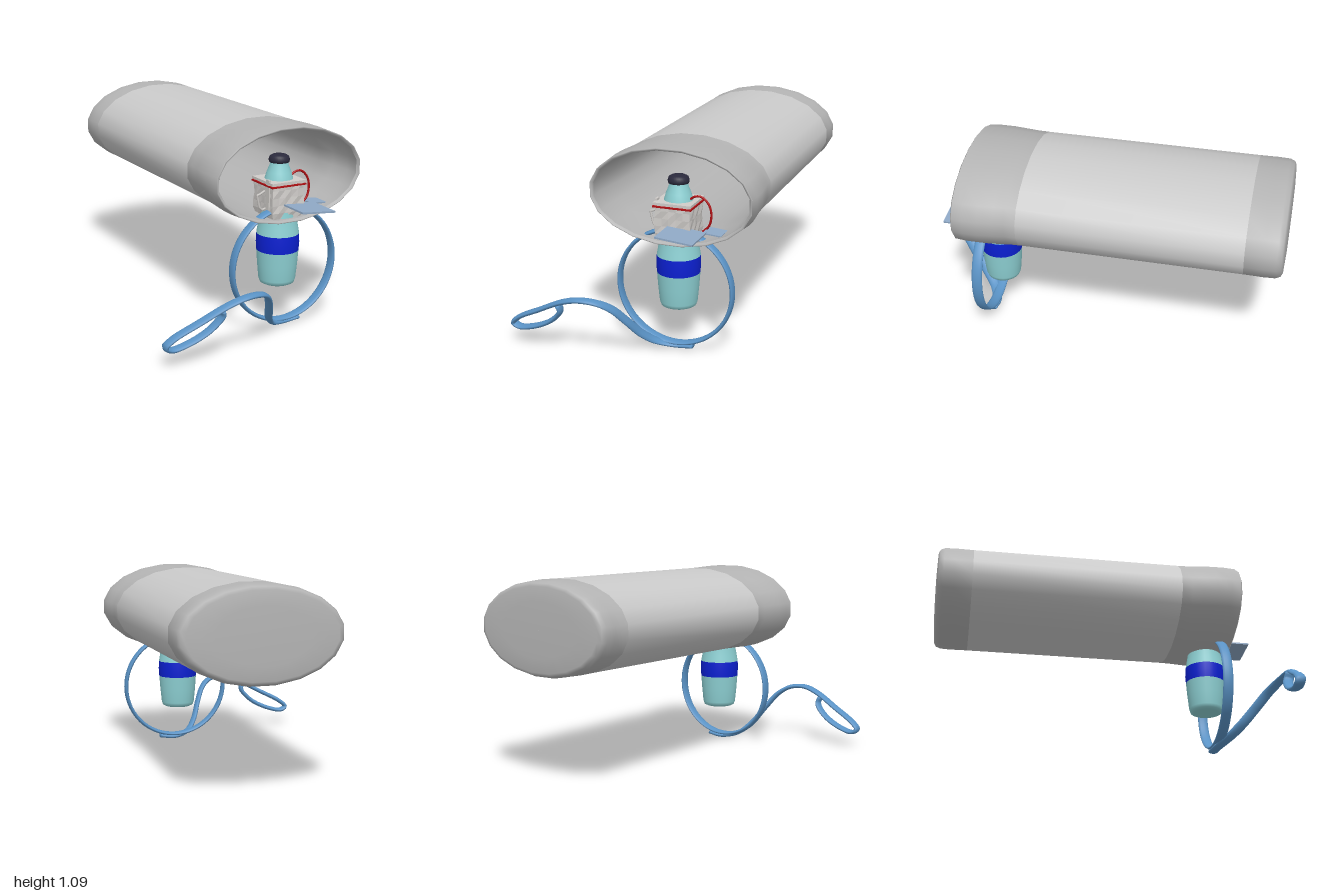
import * as THREE from 'three';

const mat = (name, color, side = THREE.FrontSide) => {
  const m = new THREE.MeshStandardMaterial({ color, side });
  m.name = name;
  return m;
};
const V = (x, y, z) => new THREE.Vector3(x, y, z);

// Skin a list of equally sized closed rings of points
function loft(rows, closed = false) {
  const n = rows[0].length, m = rows.length;
  const pos = [], idx = [];
  rows.forEach(r => r.forEach(p => pos.push(p.x, p.y, p.z)));
  for (let i = 0; i < (closed ? m : m - 1); i++) {
    for (let j = 0; j < n; j++) {
      const k = (j + 1) % n, r = ((i + 1) % m) * n;
      const a = i * n + j, b = i * n + k, c = r + j, d = r + k;
      idx.push(a, c, b, b, c, d);
    }
  }
  const g = new THREE.BufferGeometry();
  g.setAttribute('position', new THREE.Float32BufferAttribute(pos, 3));
  g.setIndex(idx);
  g.computeVertexNormals();
  return g;
}

// Elliptical rings along z from [z, halfWidth, halfHeight]
const CX = 0.19, CY = 0.837;
const ovalRows = list => list.map(([z, a, b]) => Array.from({ length: 20 }, (_, j) => {
  const t = (j + 0.5) / 20 * Math.PI * 2;
  return V(CX + a * Math.cos(t), CY + b * Math.sin(t), z);
}));

// Flattened band swept along a curve, its wide side kept towards z
function sweep(curve, steps, thin, wide, closed = false) {
  const rows = [];
  for (let i = 0; i < (closed ? steps : steps + 1); i++) {
    const p = curve.getPointAt(i / steps), t = curve.getTangentAt(i / steps);
    const b = V(0, 0, 1).addScaledVector(t, -t.z).normalize();
    const n = t.clone().cross(b);
    rows.push(Array.from({ length: 10 }, (_, j) => {
      const f = j / 10 * Math.PI * 2;
      return p.clone().addScaledVector(n, thin * Math.cos(f)).addScaledVector(b, wide * Math.sin(f));
    }));
  }
  if (!closed) {
    rows.unshift(rows[0].map(() => curve.getPointAt(0)));
    rows.push(rows[0].map(() => curve.getPointAt(1)));
  }
  return loft(rows, closed);
}

export function createModel() {
  const group = new THREE.Group();
  const shell = mat('light grey shell', 0xcacaca);
  const ends = mat('grey shell ends', 0xb4b4b4);
  const teal = mat('pale teal', 0x8dd0d3);
  const navy = mat('bright blue', 0x0c20d2);
  const dark = mat('dark cap', 0x2b2a3d);
  const blue = mat('strap blue', 0x5a93c6);
  const steel = mat('steel blue', 0x8fa9c6, THREE.DoubleSide);
  const red = mat('red', 0xb01014);
  const cloth = mat('off white cloth', 0xcfccc9);

  const add = (name, geo, material, x = 0, y = 0, z = 0) => {
    const m = new THREE.Mesh(geo, material);
    m.name = name;
    m.position.set(x, y, z);
    group.add(m);
    return m;
  };

  // Large oval shell: flared mouth, straight body, rounded closed end
  add('mouthCollar', loft(ovalRows([
    [0.72, 0.438, 0.253], [0.66, 0.446, 0.255], [0.58, 0.446, 0.255],
    [0.5, 0.436, 0.253], [0.44, 0.429, 0.251], [0.38, 0.427, 0.25]])), ends);
  add('shellBody', loft(ovalRows([[0.38, 0.427, 0.25], [-0.8, 0.427, 0.25]])), shell);
  add('closedEnd', loft(ovalRows([
    [-0.8, 0.427, 0.25], [-0.9, 0.429, 0.251], [-0.96, 0.428, 0.248], [-0.985, 0.415, 0.238],
    [-0.995, 0.39, 0.222], [-1.0, 0.25, 0.145], [-1.0, 0.001, 0.001]])), ends);
  add('shellLining', loft(ovalRows([
    [-0.975, 0.001, 0.001], [-0.97, 0.3, 0.17], [-0.93, 0.395, 0.222], [-0.85, 0.41, 0.232],
    [0.38, 0.41, 0.232], [0.5, 0.42, 0.237], [0.62, 0.43, 0.24], [0.71, 0.422, 0.238]])), ends);
  add('mouthRim', loft(ovalRows([[0.71, 0.422, 0.238], [0.725, 0.431, 0.246], [0.72, 0.438, 0.253]])), ends);

  // Bottle standing through the floor of the mouth
  const bx = 0.195, bz = 0.597;
  const lathe = (name, pts, material) =>
    add(name, new THREE.LatheGeometry(pts.map(p => new THREE.Vector2(...p)), 28), material, bx, 0, bz);
  lathe('bottleBase', [[0, 0.222], [0.075, 0.222], [0.092, 0.23], [0.099, 0.25], [0.107, 0.33], [0.113, 0.41]], teal);
  lathe('bottleBand', [[0.113, 0.41], [0.116, 0.455], [0.114, 0.502]], navy);
  lathe('bottleTop', [[0.114, 0.502], [0.107, 0.54], [0.099, 0.585], [0.093, 0.64], [0.086, 0.74],
    [0.078, 0.79], [0.064, 0.835], [0.05, 0.87], [0.046, 0.895]], teal);
  lathe('bottleCap', [[0.04, 0.884], [0.053, 0.886], [0.056, 0.9], [0.05, 0.917], [0.036, 0.925], [0, 0.926]], dark);

  // Creased cloth cover around the bottle
  let cover = new THREE.BoxGeometry(0.19, 0.2, 0.19, 5, 5, 5);
  const p = cover.attributes.position;
  for (let i = 0; i < p.count; i++) {
    const x = p.getX(i), y = p.getY(i), z = p.getZ(i);
    const s = (y < -0.09 ? 0.92 : 1) + 0.035 * Math.sin(x * 70 + y * 45 + z * 90);
    p.setXYZ(i, x * s, y, z * s);
  }
  cover = cover.toNonIndexed();
  cover.computeVertexNormals();
  add('clothCover', cover, cloth, bx, 0.695, bz);
  add('coverRim', new THREE.BoxGeometry(0.203, 0.013, 0.203), cloth, bx, 0.792, bz);
  add('coverTrim', new THREE.BoxGeometry(0.208, 0.008, 0.208), red, bx, 0.777, bz);

  // Side strip and wire handle of the cover
  add('sideStrip', new THREE.BoxGeometry(0.012, 0.16, 0.03), cloth, 0.099, 0.73, 0.65);
  const wire = [[0.095, 0.745], [0.065, 0.73], [0.05, 0.725], [0.065, 0.66], [0.08, 0.645], [0.1, 0.65]];
  add('sideHandle', new THREE.TubeGeometry(
    new THREE.CatmullRomCurve3(wire.map(q => V(q[0], q[1], 0.62)), false, 'catmullrom', 0.1), 30, 0.006, 6), cloth);

  // Red cord arching from the cover
  const cord = [[0.262, 0.808], [0.29, 0.825], [0.325, 0.825], [0.362, 0.79], [0.376, 0.74], [0.365, 0.68], [0.33, 0.643]];
  add('redCord', new THREE.TubeGeometry(
    new THREE.CatmullRomCurve3(cord.map(q => V(q[0], q[1], 0.61))), 32, 0.006, 8), red);

  // Thin tilted plates at the mouth
  add('frontPlate', new THREE.BoxGeometry(0.2, 0.009, 0.2), steel, 0.27, 0.667, 0.767).rotation.z = -0.09;
  add('sidePlate', new THREE.BoxGeometry(0.1, 0.007, 0.1), steel, 0.4, 0.653, 0.62).rotation.z = -0.08;

  // Flat strap: hanging ring and a trailing hooked tail
  const ring = new THREE.CatmullRomCurve3(Array.from({ length: 24 }, (_, i) => {
    const t = i / 24 * Math.PI * 2;
    return V(0.197 + 0.31 * Math.cos(t), 0.342 + 0.31 * Math.sin(t), 0.652);
  }), true);
  add('strapRing', sweep(ring, 72, 0.011, 0.03, true), blue);
  const tail = new THREE.CatmullRomCurve3([
    V(0.295, 0.026, 0.652), V(0.2, 0.017, 0.652), V(0.11, 0.04, 0.69), V(0.05, 0.1, 0.755),
    V(0, 0.195, 0.835), V(-0.05, 0.275, 0.9), V(-0.11, 0.317, 0.945), V(-0.2, 0.327, 0.965),
    V(-0.3, 0.3, 0.955), V(-0.45, 0.224, 0.925), V(-0.585, 0.152, 0.898), V(-0.622, 0.115, 0.89),
    V(-0.59, 0.094, 0.888), V(-0.5, 0.112, 0.895), V(-0.4, 0.16, 0.908), V(-0.34, 0.215, 0.92),
    V(-0.326, 0.245, 0.93), V(-0.335, 0.275, 0.938)]);
  add('strapTail', sweep(tail, 130, 0.013, 0.029), blue);

  return group;
}
